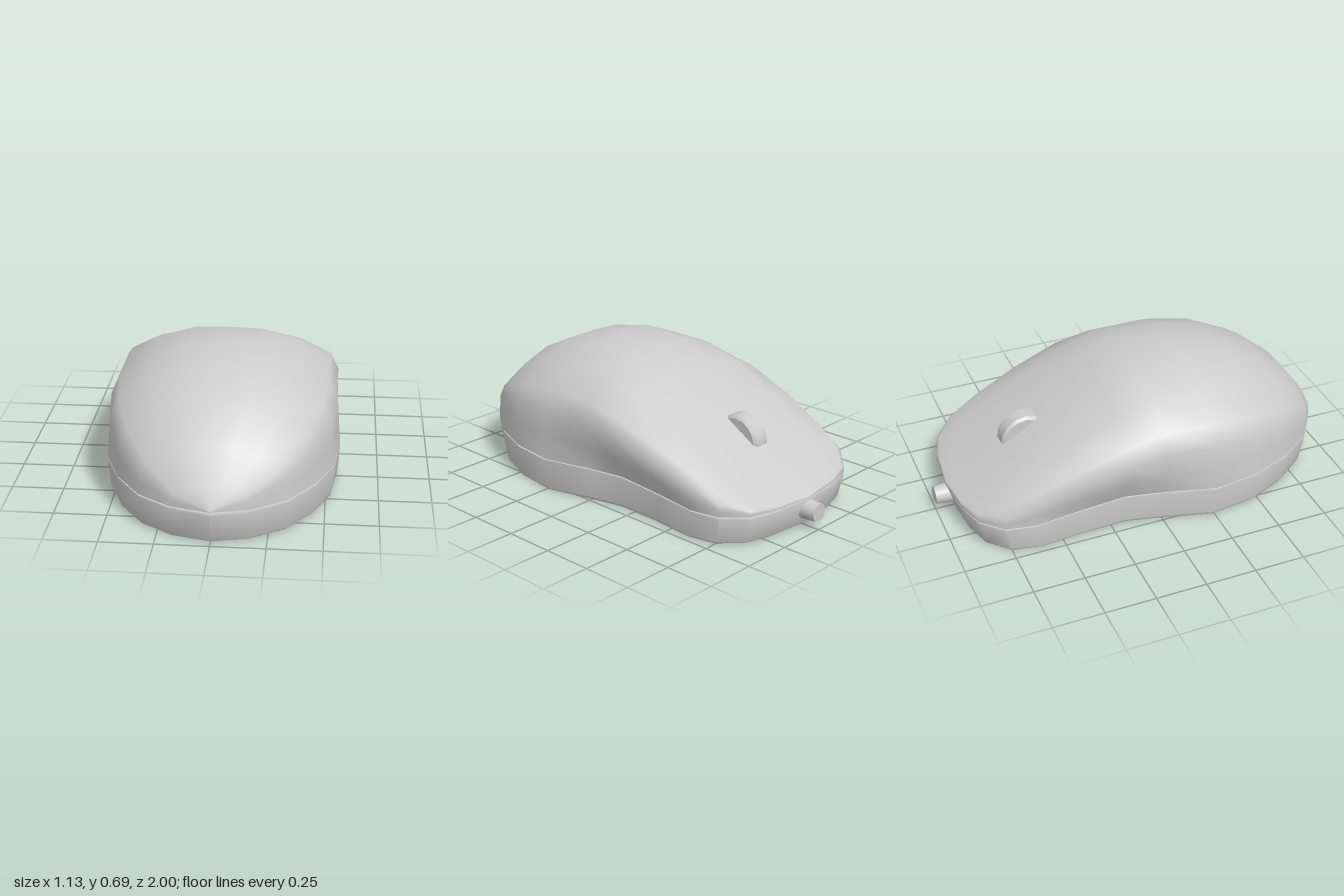
import * as THREE from 'three';
import { toCreasedNormals } from 'three/addons/utils/BufferGeometryUtils.js';

// Stations along the body: z, edge half-width, bulge half-width, top height,
// blend from domed (0) to flat (1) cross-section
const STATIONS = [
  [1.0, 0, 0, 0.17, 0], [0.955, 0.18, 0.18, 0.275, 0], [0.85, 0.335, 0.335, 0.415, 0],
  [0.68, 0.455, 0.455, 0.55, 0], [0.48, 0.535, 0.535, 0.642, 0], [0.25, 0.563, 0.563, 0.688, 0],
  [0, 0.495, 0.553, 0.667, 0.3], [-0.18, 0.455, 0.555, 0.592, 0.5], [-0.42, 0.46, 0.522, 0.462, 0.8],
  [-0.64, 0.478, 0.488, 0.332, 1], [-0.78, 0.45, 0.452, 0.247, 1], [-0.88, 0.35, 0.35, 0.187, 1],
  [-0.92, 0.22, 0.22, 0.165, 1], [-0.94, 0, 0, 0.15, 1],
];
// Normalised half cross-sections, from the edge to the ridge
const DOMED = [[1, 0], [0.985, 0.22], [0.97, 0.45], [0.89, 0.63], [0.62, 0.845], [0.3, 0.985], [0, 1]];
const FLAT = [[1, 0], [1, 0.3], [0.995, 0.6], [0.93, 0.82], [0.65, 0.96], [0.3, 1], [0, 1]];

const { lerp, smoothstep } = THREE.MathUtils;
const seamY = (z) => lerp(0.145, 0.167, smoothstep(z, -0.65, -0.05));

// Skins rows of points; closed joins the last column to the first
function skin(rows, closed) {
  const n = rows[0].length, index = [];
  for (let i = 0; i < rows.length - 1; i++) {
    for (let j = 0; j < (closed ? n : n - 1); j++) {
      const k = (j + 1) % n;
      const a = i * n + j, b = i * n + k, c = a + n, d = b + n;
      index.push(a, c, b, b, c, d);
    }
  }
  const g = new THREE.BufferGeometry();
  g.setAttribute('position', new THREE.Float32BufferAttribute(rows.flat(2), 3));
  g.setIndex(index);
  g.computeVertexNormals();
  return g;
}

function shellGeometry() {
  const rows = STATIONS.map(([z, edge, bulge, top, f]) => {
    const y0 = seamY(z);
    const half = DOMED.map(([dx, dy], j) => {
      const w = j === 0 ? edge : j === 1 ? lerp(edge, bulge, 0.6) : bulge;
      return [w * lerp(dx, FLAT[j][0], f), y0 + Math.max(top - y0, 0) * lerp(dy, FLAT[j][1], f), z];
    });
    const mirrored = half.slice(0, -1).reverse().map(([x, y, zz]) => [-x, y, zz]);
    return [...half, ...mirrored];
  });
  return skin(rows, false);
}

// Closed plan outline, as [x, z]
const right = STATIONS.map(([z, edge]) => [edge, z]);
const OUTLINE = [...right, ...right.slice(1, -1).reverse().map(([x, z]) => [-x, z])];
const inset = ([x, z], i) => [x * (1 - i * 0.6), z * (1 - i)];

function baseGeometry() {
  // inset and height as a fraction of the seam height, top to bottom
  const levels = [[0.03, 1.03], [0.025, 0.96], [0.002, 0.955], [0, 0.91], [0.03, 0.1], [0.037, 0.03], [0.05, 0]];
  const rows = levels.map(([i, h]) => OUTLINE.map((p) => {
    const [x, z] = inset(p, i);
    return [x, seamY(p[1]) * h, z];
  }));
  return toCreasedNormals(skin(rows, true), 0.65);
}

export function createModel() {
  const model = new THREE.Group();
  const grey = new THREE.MeshStandardMaterial({ color: 0xcccccc });
  const thin = new THREE.MeshStandardMaterial({ color: 0xcccccc, side: THREE.DoubleSide });
  const add = (name, geometry, material = grey, parent = model) => {
    const mesh = new THREE.Mesh(geometry, material);
    mesh.name = name;
    parent.add(mesh);
    return mesh;
  };

  add('upperShell', shellGeometry(), thin);
  add('baseWall', baseGeometry(), thin);

  // Underside plate with two round recesses on the centre line
  const plate = new THREE.Shape(OUTLINE.map((p) => new THREE.Vector2(...inset(p, 0.05))));
  for (const [name, z, r] of [['sensorRecess', -0.21, 0.085], ['screwRecess', 0.67, 0.046]]) {
    plate.holes.push(new THREE.Path().absarc(0, z, r, 0, Math.PI * 2, true));
    const recess = new THREE.Group();
    recess.name = name;
    recess.position.z = z;
    model.add(recess);
    add(name + 'Wall', new THREE.CylinderGeometry(r, r, 0.06, 24, 1, true).translate(0, 0.03, 0), thin, recess);
    add(name + 'Floor', new THREE.CircleGeometry(r, 24).rotateX(Math.PI / 2).translate(0, 0.06, 0), grey, recess);
  }
  add('undersidePlate', new THREE.ShapeGeometry(plate, 12).rotateX(Math.PI / 2));

  // Scroll wheel with softened rims
  const rim = [[0, -0.048], [0.112, -0.048], [0.125, -0.036], [0.125, 0.036], [0.112, 0.048], [0, 0.048]];
  const wheel = new THREE.LatheGeometry(rim.map(([r, y]) => new THREE.Vector2(r, y)), 16);
  const wheelMesh = add('scrollWheel', toCreasedNormals(wheel.rotateZ(Math.PI / 2), 0.6));
  wheelMesh.position.set(0, 0.325, -0.53);

  // Cable stub, tapering away from the body
  const cable = new THREE.CylinderGeometry(0.056, 0.044, 0.14, 16).rotateX(Math.PI / 2);
  add('cableStub', cable).position.set(0, 0.085, -0.93);

  return model;
}
